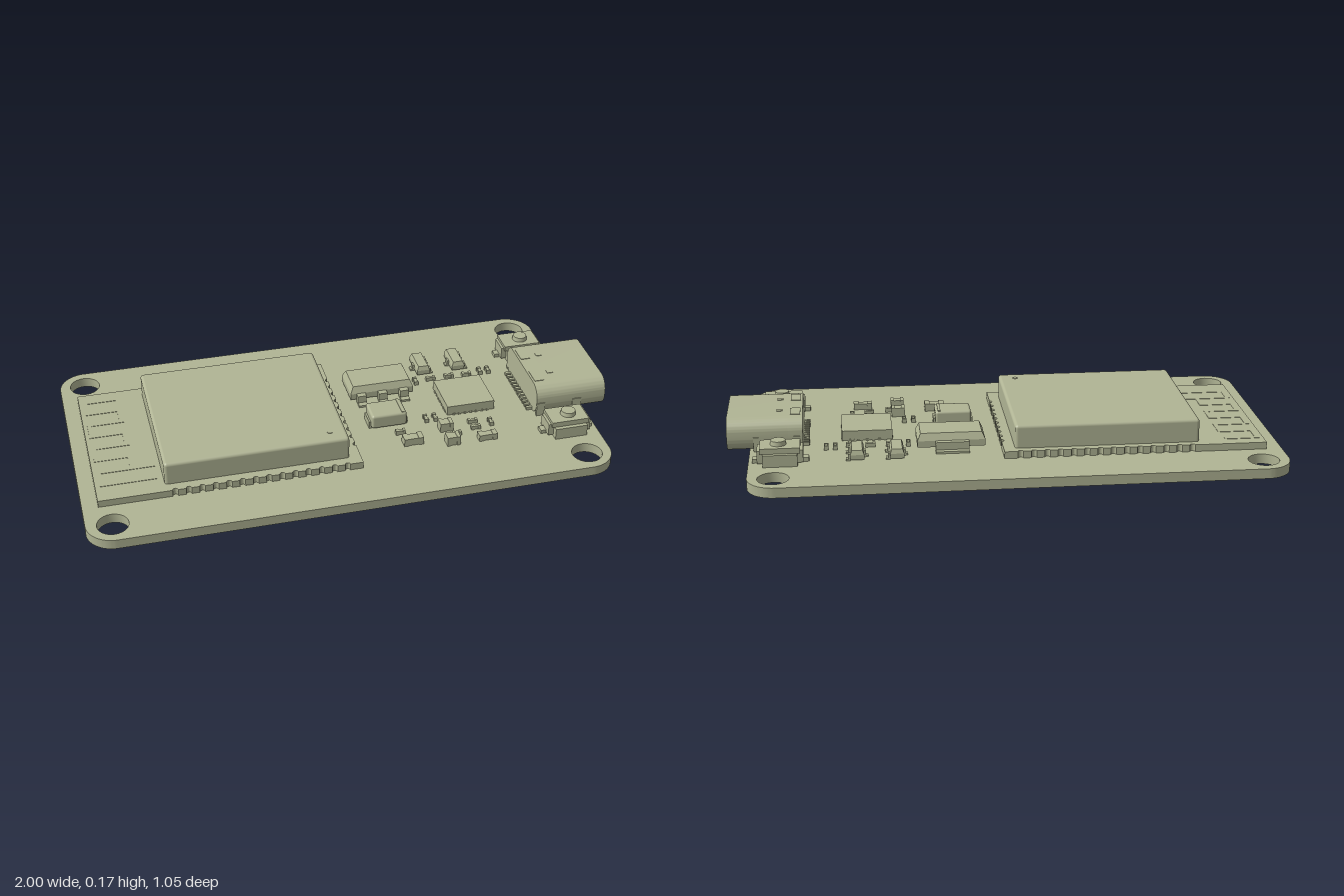
import * as THREE from 'three';
import { toCreasedNormals } from 'three/addons/utils/BufferGeometryUtils.js';
import { RoundedBoxGeometry } from 'three/addons/geometries/RoundedBoxGeometry.js';

const TOP = 0.056; // upper face of the board

export function createModel() {
  const model = new THREE.Group();
  const mat = new THREE.MeshStandardMaterial({ color: 0xb0b494 });

  const add = (name, geo, parent = model) => {
    const mesh = new THREE.Mesh(geo, mat);
    mesh.name = name;
    parent.add(mesh);
    return mesh;
  };
  const group = (name) => {
    const g = new THREE.Group();
    g.name = name;
    model.add(g);
    return g;
  };
  // box given by its limits on each axis
  const box = (name, x0, x1, y0, y1, z0, z1, parent) =>
    add(name, new THREE.BoxGeometry(x1 - x0, y1 - y0, z1 - z0)
      .translate((x0 + x1) / 2, (y0 + y1) / 2, (z0 + z1) / 2), parent);
  // box whose upper face is drawn in by t
  const taperBox = (name, x0, x1, y0, y1, z0, z1, t, parent) => {
    const w = x1 - x0, d = z1 - z0;
    const geo = new THREE.BoxGeometry(w, y1 - y0, d);
    const p = geo.attributes.position;
    for (let i = 0; i < p.count; i++) if (p.getY(i) > 0) {
      p.setX(i, p.getX(i) * (1 - 2 * t / w));
      p.setZ(i, p.getZ(i) * (1 - 2 * t / d));
    }
    geo.computeVertexNormals();
    return add(name, geo.translate((x0 + x1) / 2, (y0 + y1) / 2, (z0 + z1) / 2), parent);
  };
  const roundRect = (x0, x1, y0, y1, r, Kind = THREE.Shape) => {
    const s = new Kind();
    s.absarc(x1 - r, y1 - r, r, 0, Math.PI / 2);
    s.absarc(x0 + r, y1 - r, r, Math.PI / 2, Math.PI);
    s.absarc(x0 + r, y0 + r, r, Math.PI, Math.PI * 1.5);
    s.absarc(x1 - r, y0 + r, r, Math.PI * 1.5, Math.PI * 2);
    s.closePath();
    return s;
  };
  const extrude = (shape, depth) => toCreasedNormals(
    new THREE.ExtrudeGeometry(shape, { depth, bevelEnabled: false, curveSegments: 12 }), 0.6);

  // board with four mounting holes
  const outline = roundRect(-1, 0.92, -0.527, 0.527, 0.1);
  for (const x of [-0.905, 0.828]) for (const z of [-0.438, 0.438]) {
    const hole = new THREE.Path();
    hole.absarc(x, z, 0.056, 0, Math.PI * 2, true);
    outline.holes.push(hole);
  }
  add('board', extrude(outline, TOP - 0.019).rotateX(-Math.PI / 2).translate(0, 0.019, 0));

  // radio module: carrier with scalloped contacts on three edges
  const radio = group('radioModule');
  const [mx0, mx1, mz, nr] = [-0.943, 0.012, 0.333, 0.01];
  const carrier = new THREE.Shape();
  carrier.moveTo(mx0, -mz);
  const longEdge = Array.from({ length: 14 }, (_, i) => -0.67 + i * 0.048);
  const shortEdge = Array.from({ length: 10 }, (_, i) => -0.216 + i * 0.048);
  for (const x of longEdge) {
    carrier.lineTo(x - nr, -mz);
    carrier.absarc(x, -mz, nr, Math.PI, 0, true);
  }
  carrier.lineTo(mx1, -mz);
  for (const z of shortEdge) {
    carrier.lineTo(mx1, z - nr);
    carrier.absarc(mx1, z, nr, -Math.PI / 2, Math.PI / 2, true);
  }
  carrier.lineTo(mx1, mz);
  for (const x of [...longEdge].reverse()) {
    carrier.lineTo(x + nr, mz);
    carrier.absarc(x, mz, nr, 0, Math.PI, true);
  }
  carrier.lineTo(mx0, mz);
  carrier.closePath();
  add('moduleCarrier', new THREE.ExtrudeGeometry(carrier, { depth: 0.026, bevelEnabled: false, curveSegments: 5 })
    .rotateX(-Math.PI / 2).translate(0, TOP, 0), radio);
  add('shieldCan', new RoundedBoxGeometry(0.672, 0.1, 0.595, 3, 0.012).translate(-0.365, 0.118, -0.004), radio);
  add('shieldMark', new THREE.CylinderGeometry(0.01, 0.01, 0.002, 16).translate(-0.09, 0.169, 0.24), radio);

  // meandering antenna trace
  const ay0 = 0.081, ay1 = 0.0835;
  for (let i = 0; i < 8; i++) {
    const z = -0.28 + i * 0.075, far = i < 6 ? -0.8 : -0.72;
    box('antennaRun', -0.92, far, ay0, ay1, z - 0.008, z + 0.008, radio);
    if (i < 7) {
      const x = i % 2 ? -0.8 : -0.92;
      box('antennaTurn', x - 0.008, x + 0.008, ay0, ay1, z - 0.008, z + 0.083, radio);
    }
  }

  // voltage regulator: tapered body, wide tab, three legs
  const reg = group('regulator');
  taperBox('regulatorBase', 0.07, 0.317, 0.068, 0.092, -0.222, -0.083, 0, reg);
  taperBox('regulatorBody', 0.07, 0.317, 0.092, 0.118, -0.222, -0.083, 0.012, reg);
  const gullLeg = (x0, x1, zIn, zOut, parent) => {
    const mid = (zIn + zOut) / 2;
    box('legFoot', x0, x1, TOP, 0.064, Math.min(mid, zOut), Math.max(mid, zOut), parent);
    box('legShank', x0, x1, TOP, 0.092, Math.min(zIn, mid), Math.max(zIn, mid), parent);
  };
  gullLeg(0.13, 0.252, -0.222, -0.262, reg);
  for (const x of [0.11, 0.193, 0.277]) gullLeg(x - 0.017, x + 0.017, -0.083, -0.04, reg);

  // capacitor with a polarity step
  const cap = group('tantalumCapacitor');
  add('capacitorBody', new RoundedBoxGeometry(0.135, 0.056, 0.1, 2, 0.01).translate(0.168, 0.09, 0.068), cap);
  box('capacitorBand', 0.216, 0.226, 0.117, 0.12, 0.024, 0.112, cap);
  for (const x of [0.1, 0.236]) box('capacitorTerminal', x - 0.006, x + 0.006, TOP, 0.085, 0.035, 0.1, cap);

  // interface chip, leadless package
  const chip = group('interfaceChip');
  box('chipBody', 0.402, 0.587, 0.058, 0.095, -0.095, 0.09, chip);
  for (let i = 0; i < 7; i++) {
    const t = -0.069 + i * 0.022;
    box('chipPadSide', 0.4, 0.589, TOP, 0.063, t - 0.005, t + 0.005, chip);
    box('chipPadEnd', t + 0.492, t + 0.502, TOP, 0.063, -0.097, 0.092, chip);
  }

  // pair of three-legged transistors
  for (const x of [0.393, 0.535]) {
    const t = group('transistor');
    box('transistorLower', x - 0.025, x + 0.025, 0.062, 0.08, -0.306, -0.196, t);
    taperBox('transistorUpper', x - 0.025, x + 0.025, 0.08, 0.096, -0.306, -0.196, 0.006, t);
    for (const [s, z] of [[-1, -0.251], [1, -0.286], [1, -0.216]]) {
      const a = x + s * 0.024, b = x + s * 0.032, c = x + s * 0.04;
      box('transistorLeg', Math.min(a, b), Math.max(a, b), TOP, 0.08, z - 0.011, z + 0.011, t);
      box('transistorFoot', Math.min(b, c), Math.max(b, c), TOP, 0.062, z - 0.011, z + 0.011, t);
    }
  }

  // chip passives: centre x, centre z, size x, size z, height
  const passives = [
    [0.347, -0.155, 0.016, 0.036, 0.016], [0.41, -0.16, 0.036, 0.016, 0.016],
    [0.485, -0.16, 0.036, 0.016, 0.016], [0.555, -0.155, 0.036, 0.016, 0.016],
    [0.612, -0.165, 0.016, 0.034, 0.016], [0.645, -0.165, 0.016, 0.034, 0.016],
    [0.315, 0.098, 0.016, 0.036, 0.016], [0.35, 0.098, 0.016, 0.036, 0.016],
    [0.198, 0.16, 0.036, 0.018, 0.018], [0.228, 0.224, 0.074, 0.04, 0.03],
    [0.37, 0.17, 0.05, 0.04, 0.036], [0.37, 0.26, 0.05, 0.04, 0.036],
    [0.4, 0.216, 0.034, 0.016, 0.016], [0.48, 0.155, 0.036, 0.016, 0.016],
    [0.48, 0.195, 0.036, 0.016, 0.016], [0.545, 0.175, 0.016, 0.036, 0.016],
    [0.503, 0.263, 0.07, 0.032, 0.025],
  ];
  for (const [x, z, w, d, h] of passives) {
    const g = group('passive');
    const along = w >= d, a = w / 2, b = d / 2, k = 0.003;
    box('passiveBody', x - a + k, x + a - k, TOP, TOP + h - 0.002, z - b + k, z + b - k, g);
    for (const s of [-1, 1]) {
      const cx = along ? x + s * w * 0.37 : x, cz = along ? z : z + s * d * 0.37;
      const ex = along ? w * 0.13 : a, ez = along ? b : d * 0.13;
      box('passiveCap', cx - ex, cx + ex, TOP, TOP + h, cz - ez, cz + ez, g);
    }
  }

  // port: hollow rounded shell, closed rear, tongue, contacts and anchor legs
  const port = group('port');
  const alongX = (shape, x0, x1) => extrude(shape, x1 - x0).rotateY(Math.PI / 2).translate(x0, 0, 0);
  const shell = roundRect(-0.169, 0.169, 0.053, 0.173, 0.05);
  shell.holes.push(roundRect(-0.15, 0.15, 0.068, 0.158, 0.042, THREE.Path));
  add('portShell', alongX(shell, 0.78, 1), port);
  add('portRear', alongX(roundRect(-0.169, 0.169, 0.053, 0.173, 0.05), 0.727, 0.79), port);
  add('portTongue', alongX(roundRect(-0.128, 0.128, 0.098, 0.128, 0.006), 0.78, 0.985), port);
  for (let i = 0; i < 12; i++) {
    const z = -0.121 + i * 0.022;
    box('rearContact', 0.705, 0.73, TOP, 0.068, z - 0.006, z + 0.006, port);
    box('tongueContact', 0.85, 0.975, 0.096, 0.13, z - 0.005, z + 0.005, port);
  }
  for (const s of [-1, 1]) {
    for (const [x0, x1] of [[0.728, 0.76], [0.87, 0.905]])
      box('anchorLeg', x0, x1, 0, 0.11, s * 0.167 - 0.005, s * 0.167 + 0.005, port);
    box('shellTab', 0.735, 0.772, 0.17, 0.175, s * 0.078 - 0.035, s * 0.078 + 0.035, port);
    box('shellDimple', 0.8, 0.822, 0.17, 0.175, s * 0.062 - 0.01, s * 0.062 + 0.01, port);
  }

  // push buttons on either side of the port
  for (const s of [-1, 1]) {
    const b = group('pushButton');
    box('buttonBase', 0.745, 0.868, TOP, 0.1, -0.063, 0.063, b);
    box('buttonHousing', 0.725, 0.888, 0.062, 0.108, -0.038, 0.038, b);
    box('buttonCover', 0.735, 0.878, 0.1, 0.12, -0.048, 0.048, b);
    for (const x of [0.715, 0.896])
      box('buttonTerminal', x - 0.01, x + 0.01, TOP, 0.07, -0.015, 0.015, b);
    add('buttonCap', new THREE.CylinderGeometry(0.026, 0.029, 0.018, 24).translate(0.812, 0.127, 0), b);
    b.position.z = s * 0.27;
  }
  return model;
}
